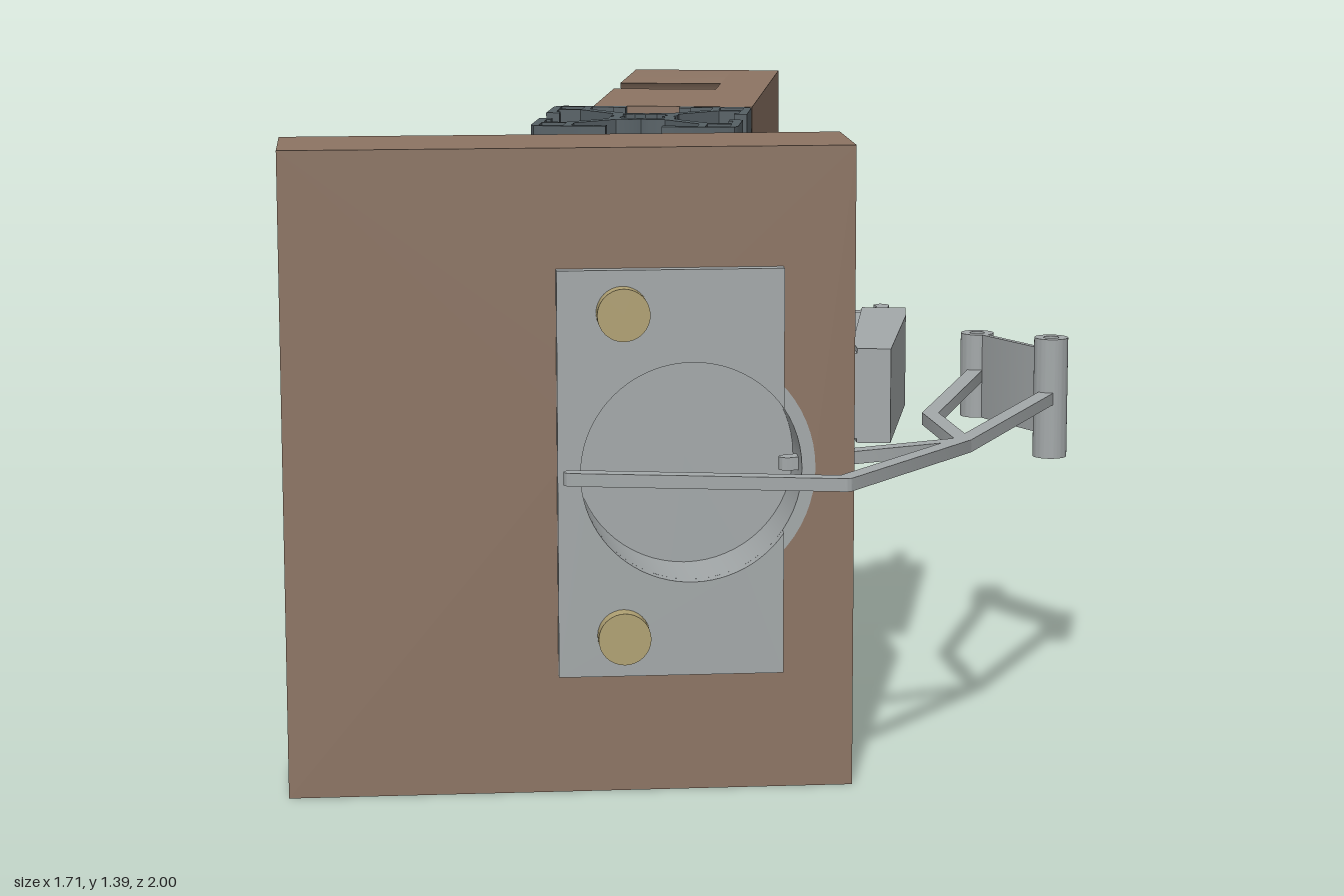
import * as THREE from 'three';
import { toCreasedNormals } from 'three/addons/utils/BufferGeometryUtils.js';

const mat = (name, color) => {
  const m = new THREE.MeshStandardMaterial({ color });
  m.name = name;
  return m;
};

export function createModel() {
  const wood = mat('wood', 0x8c7463);
  const steel = mat('steel', 0xa3a8a9);
  const dark = mat('dark metal', 0x566065);
  const brass = mat('brass', 0xb0a173);
  const H = 1.39, MID = 0.7;
  const root = new THREE.Group();
  root.name = 'hingeAssembly';

  const add = (parent, name, geo, material, x = 0, y = 0, z = 0) => {
    const m = new THREE.Mesh(geo, material);
    m.name = name;
    m.position.set(x, y, z);
    parent.add(m);
    return m;
  };
  const extrude = (shape, depth) => toCreasedNormals(
    new THREE.ExtrudeGeometry(shape, { depth, bevelEnabled: false, curveSegments: 32 }), 0.5);
  const circle = (x, y, r) => new THREE.Path().absarc(x, y, r, 0, Math.PI * 2, true);
  const poly = pts => new THREE.Shape(pts.map(([x, z]) => new THREE.Vector2(x, -z)));
  // Plan outline (x, -z) raised from y0 to y1
  const prism = (shape, y0, y1) => extrude(shape, y1 - y0).rotateX(-Math.PI / 2).translate(0, y0, 0);
  // Round-ended bar between two plan points
  const bar = (a, b, w, y0, y1) => {
    const t = Math.atan2(a[1] - b[1], b[0] - a[0]), s = new THREE.Shape();
    s.absarc(b[0], -b[1], w / 2, t - Math.PI / 2, t + Math.PI / 2, false);
    s.absarc(a[0], -a[1], w / 2, t + Math.PI / 2, t + Math.PI * 1.5, false);
    return prism(s, y0, y1);
  };

  // Side panel with two blind holes, the upper one open to the top edge
  const side = new THREE.Shape();
  side.moveTo(0.02, 0);
  side.lineTo(1, 0);
  side.lineTo(1, H);
  side.lineTo(0.61, H);
  side.absarc(0.535, 1.33, 0.096, 0.675, Math.PI - 0.675, true);
  side.lineTo(0.02, H);
  side.holes.push(circle(0.535, 0.567, 0.096));
  add(root, 'sidePanelDrilled', extrude(side, 0.25).rotateY(Math.PI / 2), wood, -0.26);
  add(root, 'sidePanelSolid', new THREE.BoxGeometry(0.12, H, 0.98), wood, 0.05, H / 2, -0.51);

  // Slotted post: half of one quadrant, mirrored on the diagonal and turned four times
  const half = [[0.066, 0], [0.075, 0.02], [0.075, 0.055], [0.16, 0.14], [0.21, 0.14], [0.21, 0.09],
    [0.2, 0.09], [0.2, 0.062], [0.23, 0.062], [0.23, 0.208], [0.223, 0.223]];
  const quad = [...half, ...half.slice(1, -1).reverse().map(([x, y]) => [y, x])];
  const outline = [], core = [];
  const post = new THREE.Shape();
  for (let i = 0; i < 4; i++) {
    const c = [1, 0, -1, 0][i], s = [0, 1, 0, -1][i];
    const turn = ([x, y]) => new THREE.Vector2(x * c - y * s, x * s + y * c);
    outline.push(...quad.map(turn));
    core.push(...[[0.042, 0], [0.052, 0.025], [0.045, 0.045], [0.025, 0.052]].map(turn));
    post.holes.push(new THREE.Path([[0.158, 0.158], [0.158, 0.212], [0.212, 0.212], [0.212, 0.158]].map(turn)));
  }
  post.setFromPoints(outline);
  post.holes.push(new THREE.Path(core.reverse()));
  add(root, 'slottedPost', prism(post, 0, H), dark, -0.12, 0, 0.215);

  // Door, turned ten degrees, with a bored recess in its front
  const door = new THREE.Group();
  door.name = 'door';
  door.position.set(-0.235, 0, 0.755);
  door.rotation.y = Math.PI / 18;
  root.add(door);
  const W = 0.6065, T = 0.137, CUP = 0.18, cx = 0.257;
  const face = new THREE.Shape([[-W, 0], [W, 0], [W, H], [-W, H]].map(p => new THREE.Vector2(...p)));
  face.holes.push(circle(cx, MID, 0.266));
  add(door, 'doorFront', extrude(face, CUP), wood, 0, 0, T - CUP);
  add(door, 'doorBack', new THREE.BoxGeometry(2 * W, H, 2 * T - CUP), wood, 0, H / 2, -CUP / 2);

  // Hinge cup, open to the front
  const ring = new THREE.Shape().absarc(cx, MID, 0.266, 0, Math.PI * 2, false);
  ring.holes.push(circle(cx, MID, 0.237));
  add(door, 'cupWall', extrude(ring, CUP + 0.001), steel, 0, 0, T - CUP);
  add(door, 'cupFloor', new THREE.CylinderGeometry(0.25, 0.25, 0.012, 48).rotateX(Math.PI / 2),
    steel, cx, MID, T - CUP + 0.006);

  // Door plate, cut away around the cup
  const plate = new THREE.Shape();
  plate.moveTo(-0.0285, 0.26);
  plate.lineTo(0.4525, 0.26);
  plate.lineTo(0.4525, MID - 0.134);
  plate.absarc(cx, MID, 0.237, -0.6, 0.6, true);
  plate.lineTo(0.4525, 1.135);
  plate.lineTo(-0.0285, 1.135);
  add(door, 'doorPlate', extrude(plate, 0.03), steel, 0, 0, T);
  for (const y of [0.35, 1.045])
    add(door, 'doorScrew', new THREE.CylinderGeometry(0.056, 0.056, 0.04, 32).rotateX(Math.PI / 2),
      brass, 0.11, y, T + 0.05);

  // Mounting plate and screws on the side panel
  add(root, 'mountingPlate', new THREE.BoxGeometry(0.036, 0.68, 0.24), steel, 0.128, MID, -0.42);
  for (const y of [0.45, 0.945])
    add(root, 'mountingScrew', new THREE.CylinderGeometry(0.053, 0.053, 0.03, 32).rotateZ(Math.PI / 2),
      brass, 0.161, y, -0.42);

  // Hinge arm: body, tapered cover, front eye and rear clip
  add(root, 'armBody', new THREE.BoxGeometry(0.2, 0.22, 0.495), steel, 0.243, MID - 0.003, -0.4475);
  add(root, 'armCover', prism(poly([[0.34, -0.2], [0.355, -0.1], [0.435, -0.1], [0.455, -0.62],
    [0.45, -0.75], [0.34, -0.75]]), 0.585, 0.812), steel);
  const eye = poly([[0.28, -0.08], [0.315, -0.08], [0.33, -0.1], [0.36, -0.1], [0.345, -0.19], [0.28, -0.19]]);
  eye.holes.push(circle(0.317, 0.135, 0.022));
  add(root, 'armEye', prism(eye, 0.595, 0.8), steel);
  add(root, 'armClip', prism(poly([[0.3, -0.7], [0.34, -0.7], [0.34, -0.74], [0.4, -0.74], [0.405, -0.86],
    [0.396, -0.877], [0.38, -0.88], [0.365, -0.86], [0.375, -0.83], [0.36, -0.79], [0.325, -0.765],
    [0.3, -0.74]]), 0.592, 0.802), steel);

  // Pivot barrels and the plate linking them
  const p1 = [0.635, -0.44], p2 = [0.812, -0.132];
  for (const [p, y0, y1] of [[p1, 0.595, 0.8], [p2, 0.555, 0.84]]) {
    const s = new THREE.Shape().absarc(p[0], -p[1], 0.04, 0, Math.PI * 2, false);
    s.holes.push(circle(p[0], -p[1], 0.018));
    add(root, 'pivotBarrel', prism(s, y0, y1), steel);
  }
  add(root, 'linkPlate', bar([0.648, -0.415], [0.833, -0.165], 0.015, 0.595, 0.8), steel);

  // Flat bent rods meeting at one joint
  const joint = [0.615, 0.51];
  const rods = [
    [[0.63, -0.4], [0.535, 0.19]], [[0.535, 0.19], joint], [[0.8, -0.095], joint],
    [joint, [0.24, 0.74]], [joint, [0.375, 0.957]], [[0.375, 0.957], [-0.2, 0.95]],
  ];
  for (const [a, b] of rods) add(root, 'bentRod', bar(a, b, 0.037, 0.685, 0.713), steel);

  return root;
}
